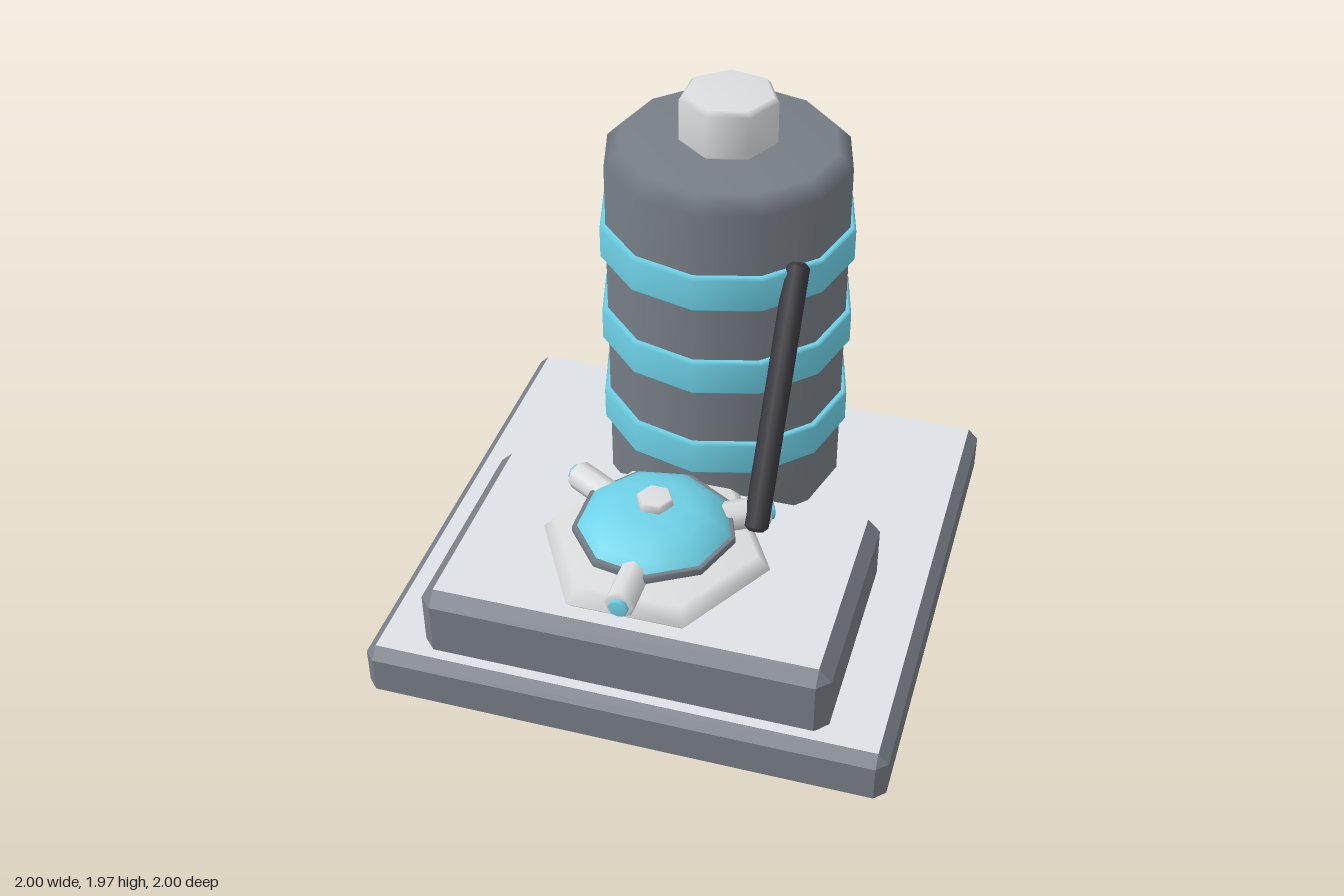
import * as THREE from 'three';
import { ConvexGeometry } from 'three/addons/geometries/ConvexGeometry.js';

const material = (name, color) => {
  const m = new THREE.MeshStandardMaterial({ color });
  m.name = name;
  return m;
};

export function createModel() {
  const body = material('body grey', 0x777e86);
  const deck = material('deck grey', 0xdee1e5);
  const metal = material('light metal', 0xdcdddf);
  const teal = material('teal', 0x70d5eb);
  const rubber = material('dark rubber', 0x37363d);

  const model = new THREE.Group();
  model.name = 'pumpStation';

  const add = (parent, name, geometry, mat, x = 0, y = 0, z = 0) => {
    const mesh = new THREE.Mesh(geometry, mat);
    mesh.name = name;
    mesh.position.set(x, y, z);
    parent.add(mesh);
    return mesh;
  };

  // Smooth solid of revolution from [radius, height] pairs, bottom to top
  const turned = (profile, sides) => new THREE.LatheGeometry(
    profile.map(([r, y]) => new THREE.Vector2(r, y)), sides, Math.PI / 2);

  // Closed cylinder with bevelled rims
  const drum = (r, y0, y1, b, sides) => turned(
    [[0, y0], [r - b, y0], [r, y0 + b], [r, y1 - b], [r - b, y1], [0, y1]], sides);

  // Block with every edge chamfered and light top and bottom faces
  const slab = (name, w, y0, y1, d, z, b) => {
    const group = new THREE.Group();
    group.name = name;
    group.position.set(0, (y0 + y1) / 2, z);
    const half = [w / 2, (y1 - y0) / 2, d / 2];
    const points = [];
    for (const sx of [-1, 1]) for (const sy of [-1, 1]) for (const sz of [-1, 1]) {
      for (let axis = 0; axis < 3; axis++) {
        const p = half.map((h, i) => (i === axis ? h : h - b));
        points.push(new THREE.Vector3(p[0] * sx, p[1] * sy, p[2] * sz));
      }
    }
    add(group, name + 'Block', new ConvexGeometry(points), body);
    for (const [side, s] of [['Top', 1], ['Bottom', -1]]) {
      const face = new THREE.PlaneGeometry(w - 2 * b, d - 2 * b).rotateX(-s * Math.PI / 2);
      add(group, name + side, face, deck, 0, s * (half[1] + 0.002), 0);
    }
    model.add(group);
  };
  slab('base', 2, 0.002, 0.23, 2, 0, 0.04);
  slab('plinth', 1.54, 0.23, 0.535, 0.92, 0.5, 0.048);

  // Storage tank with three bands and a cap
  const tank = new THREE.Group();
  tank.name = 'tank';
  tank.position.z = -0.482;
  model.add(tank);
  add(tank, 'tankBody', drum(0.48, 0.23, 1.77, 0.06, 12), body);
  for (const y of [0.54, 0.93, 1.31]) {
    add(tank, 'tankBand', drum(0.503, y, y + 0.15, 0.012, 12), teal);
  }
  add(tank, 'tankCap', drum(0.19, 1.76, 1.965, 0.02, 7), metal);

  // Domed pump on a hexagonal plate
  const pump = new THREE.Group();
  pump.name = 'pump';
  pump.position.z = 0.495;
  model.add(pump);
  add(pump, 'pumpPlate', turned(
    [[0, 0.535], [0.41, 0.535], [0.44, 0.565], [0.39, 0.62], [0, 0.62]], 6), metal);
  add(pump, 'pumpBody', turned([[0.24, 0.61], [0.29, 0.66]], 9), teal);
  add(pump, 'pumpRim', drum(0.306, 0.657, 0.69, 0.005, 9), body);
  add(pump, 'pumpDome', turned(
    [[0.292, 0.685], [0.26, 0.722], [0.2, 0.76], [0.12, 0.78], [0, 0.786]], 9), teal);
  add(pump, 'pumpKnob', drum(0.07, 0.77, 0.815, 0.008, 6), metal);

  // Three outlets spaced evenly around the pump
  for (let i = 0; i < 3; i++) {
    const outlet = new THREE.Group();
    outlet.name = 'outlet';
    outlet.position.y = 0.66;
    outlet.rotation.y = i * Math.PI * 2 / 3;
    pump.add(outlet);
    add(outlet, 'outletPipe', drum(0.057, 0.2, 0.435, 0.01, 8).rotateX(Math.PI / 2), metal);
    add(outlet, 'outletTip', drum(0.038, 0.4, 0.452, 0.006, 8).rotateX(Math.PI / 2), teal);
  }

  // Sloping hose from the pump up into the tank
  const start = new THREE.Vector3(0.35, 0.63, 0.375);
  const end = new THREE.Vector3(0.35, 1.47, -0.178);
  const run = end.clone().sub(start);
  const hose = add(model, 'hose', drum(0.048, 0, run.length(), 0.018, 8), rubber, ...start.toArray());
  hose.quaternion.setFromUnitVectors(new THREE.Vector3(0, 1, 0), run.normalize());

  return model;
}
